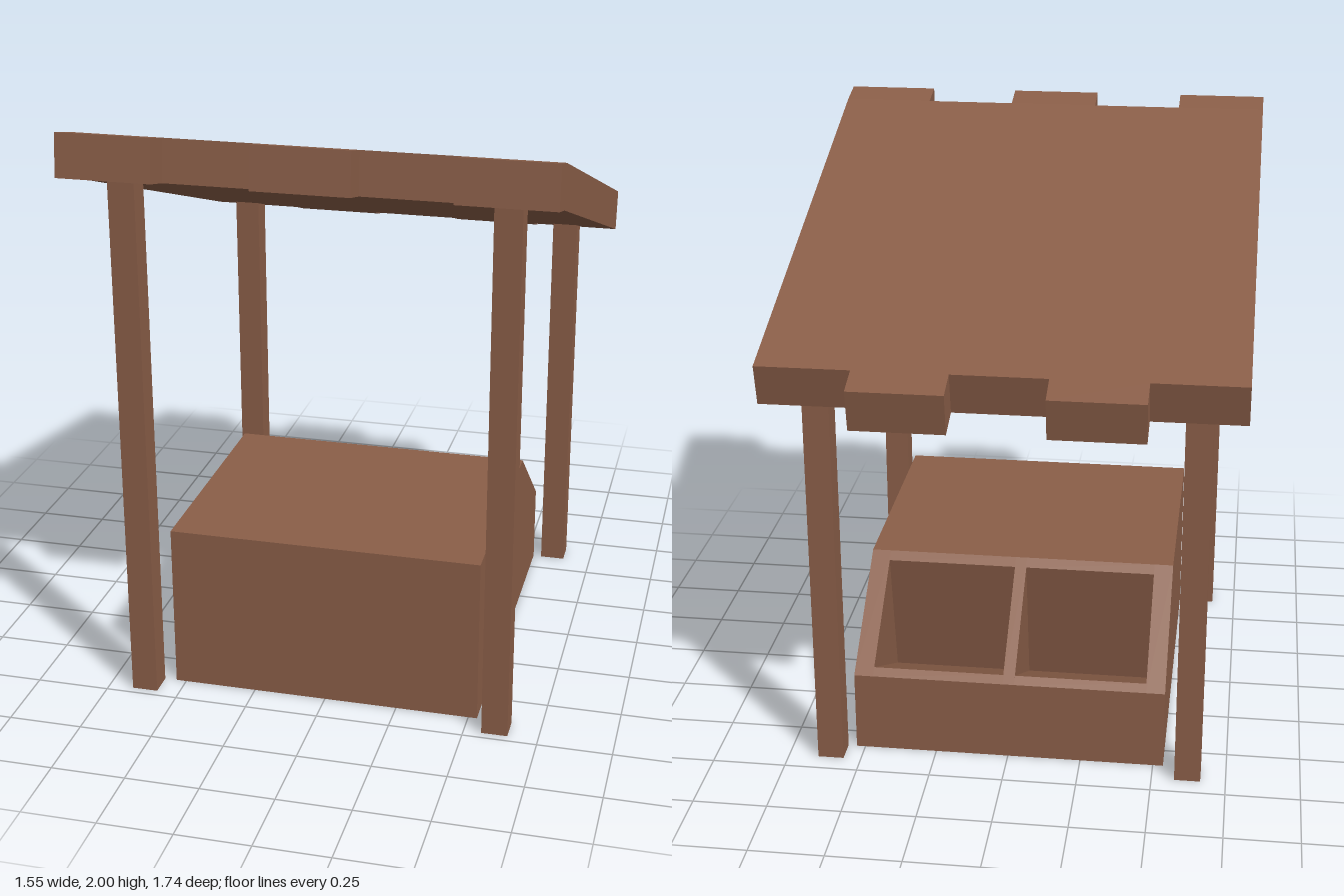
import * as THREE from 'three';

export function createModel() {
  const group = new THREE.Group();
  group.name = 'marketStall';
  const wood = new THREE.MeshStandardMaterial({ color: 0x8a5e48 });
  wood.name = 'brownWood';

  // Side profile of [z, y] points, extruded from x0 to x1
  function slab(name, profile, x0, x1) {
    const shape = new THREE.Shape(profile.map(([z, y]) => new THREE.Vector2(-z, y)));
    const geo = new THREE.ExtrudeGeometry(shape, { depth: x1 - x0, bevelEnabled: false });
    geo.rotateY(Math.PI / 2);
    geo.translate(x0, 0, 0);
    const mesh = new THREE.Mesh(geo, wood);
    mesh.name = name;
    group.add(mesh);
  }

  // Roof planks: outer and middle ones reach forward, the others reach back
  const forwardPlank = [
    [0.855, 2.0], [0.75, 1.975], [-0.77, 1.463],
    [-0.74, 1.325], [0.765, 1.835], [0.87, 1.86],
  ];
  const backwardPlank = [
    [0.75, 1.975], [-0.77, 1.463], [-0.868, 1.43],
    [-0.842, 1.29], [-0.74, 1.325], [0.765, 1.835],
  ];
  const roofX = [-0.775, -0.467, -0.157, 0.155, 0.465, 0.775];
  for (let i = 0; i < 5; i++) {
    slab('roofPlank' + (i + 1), i % 2 ? backwardPlank : forwardPlank, roofX[i], roofX[i + 1]);
  }

  // Corner posts, cut to the slope of the roof
  for (const [side, x0, x1] of [['right', -0.665, -0.577], ['left', 0.56, 0.648]]) {
    slab(side + 'FrontPost', [[0.637, 0], [0.722, 0], [0.722, 1.825], [0.637, 1.797]], x0, x1);
    slab(side + 'BackPost', [[-0.68, 0], [-0.595, 0], [-0.595, 1.378], [-0.68, 1.35]], x0, x1);
  }

  // Counter: solid walls and divider, with a tilted tray cut into each bay
  const solid = [[0.637, 0], [0.637, 0.577], [-0.22, 0.577], [-0.597, 0.28], [-0.597, 0]];
  const bay = [
    [0.637, 0], [0.637, 0.577], [-0.22, 0.577], [-0.25, 0.553],
    [-0.16, 0.09], [-0.57, 0.301], [-0.597, 0.28], [-0.597, 0],
  ];
  slab('counterRightWall', solid, -0.535, -0.47);
  slab('counterRightBay', bay, -0.47, -0.022);
  slab('counterDivider', solid, -0.022, 0.018);
  slab('counterLeftBay', bay, 0.018, 0.465);
  slab('counterLeftWall', solid, 0.465, 0.53);

  return group;
}
